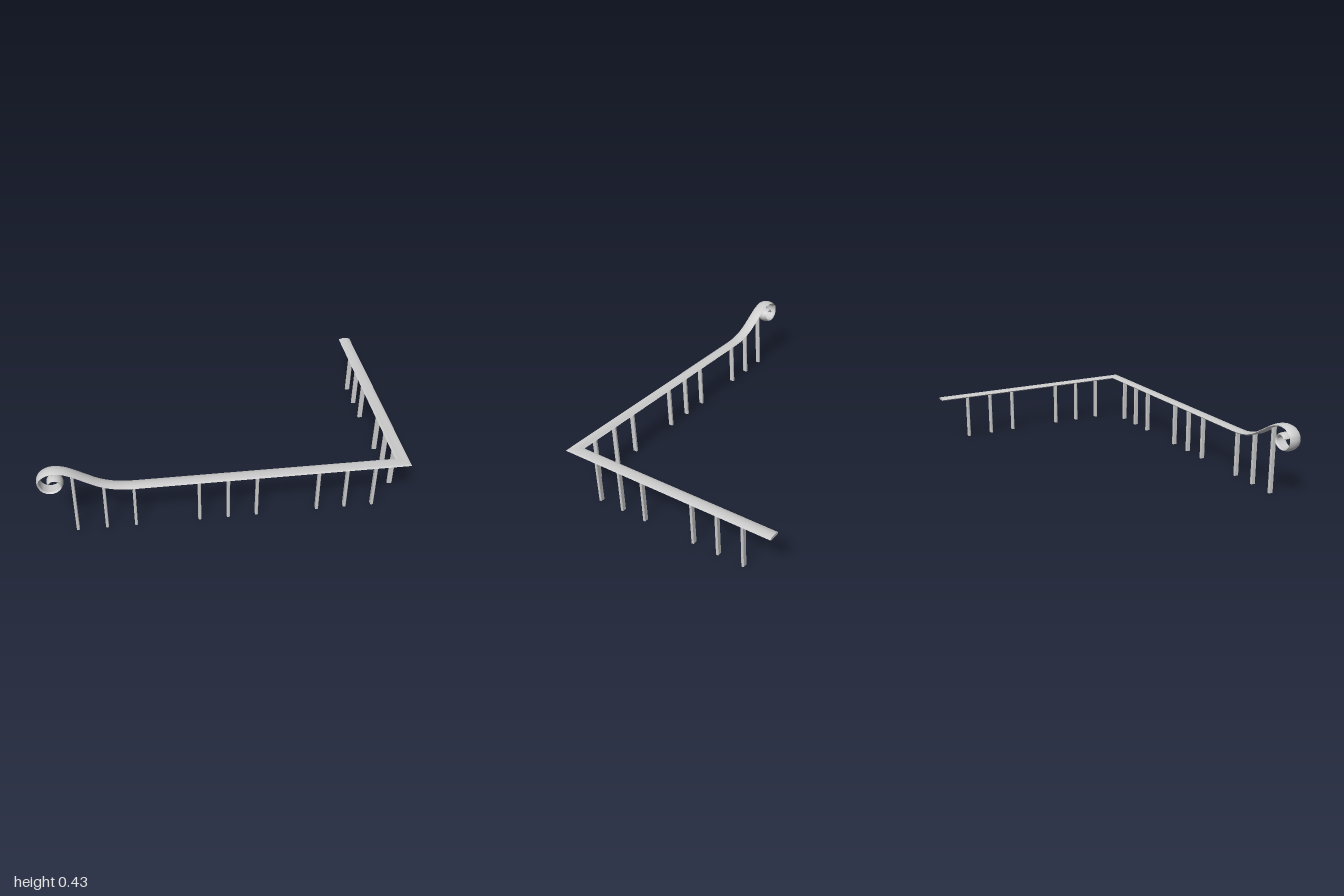
import * as THREE from 'three';
import { toCreasedNormals } from 'three/addons/utils/BufferGeometryUtils.js';

const RAIL_Y = 0.278, FRONT_Z = 0.632, SIDE_X = 0.963;
const V = (x, y, z) => new THREE.Vector3(x, y, z);

// Handrail cross-section: [across, up], crowned top and flat narrower underside
const section = [[-0.036, -0.001], [-0.024, 0.0045], [-0.012, 0.0072], [0, 0.008], [0.012, 0.0072],
  [0.024, 0.0045], [0.036, -0.001], [0.028, -0.008], [-0.028, -0.008]];

// Centre line of the downward ramp and scroll
const scroll = new THREE.CatmullRomCurve3([
  [-0.5, 0.278], [-0.56, 0.281], [-0.62, 0.292], [-0.68, 0.313], [-0.74, 0.346], [-0.818, 0.392],
  [-0.86, 0.41], [-0.905, 0.418], [-0.95, 0.409], [-0.983, 0.383], [-0.992, 0.35], [-0.98, 0.315],
  [-0.953, 0.294], [-0.92, 0.29], [-0.887, 0.304], [-0.869, 0.333], [-0.88, 0.361], [-0.908, 0.372],
  [-0.93, 0.366], [-0.94, 0.35],
].map(([x, y]) => V(x, y, FRONT_Z)), false, 'centripetal');

// Sweep the section through stations {p, across, up}
function sweep(stations) {
  const pos = [], index = [], n = section.length;
  for (const { p, across, up } of stations) {
    for (const [b, h] of section) {
      pos.push(...p.clone().addScaledVector(across, b).addScaledVector(up, h).toArray());
    }
  }
  for (let i = 0; i < stations.length - 1; i++) {
    for (let j = 0; j < n; j++) {
      const k = (j + 1) % n, a = i * n, c = a + n;
      index.push(a + j, a + k, c + k, a + j, c + k, c + j);
    }
  }
  const last = (stations.length - 1) * n;
  for (let j = 1; j < n - 1; j++) {
    index.push(0, j + 1, j, last, last + j, last + j + 1);
  }
  const g = new THREE.BufferGeometry();
  g.setAttribute('position', new THREE.Float32BufferAttribute(pos, 3));
  g.setIndex(index);
  return toCreasedNormals(g, 0.5);
}

function handrailGeometry() {
  const up = V(0, 1, 0);
  const stations = [
    { p: V(SIDE_X, RAIL_Y, -0.667), across: V(-1, 0, 0), up },
    { p: V(SIDE_X, RAIL_Y, FRONT_Z), across: V(-1, 0, -1), up }, // mitred corner
  ];
  const steps = 110;
  for (let i = 0; i <= steps; i++) {
    const t = scroll.getTangentAt(i / steps);
    stations.push({ p: scroll.getPointAt(i / steps), across: V(0, 0, -1), up: V(t.y, -t.x, 0) });
  }
  return sweep(stations);
}

// Height of the rail's centre line above a given x (ramp part only)
function railHeight(x) {
  if (x > -0.5) return RAIL_Y;
  return scroll.getPoints(400).find((p) => p.x <= x).y;
}

// Flat bar with chamfered corners: 0.016 along the rail, 0.028 across it
function balusterGeometry(height) {
  const w = 0.008, d = 0.014, c = 0.003;
  const shape = new THREE.Shape([[w, -d + c], [w, d - c], [w - c, d], [-w + c, d], [-w, d - c],
    [-w, -d + c], [-w + c, -d], [w - c, -d]].map(([x, y]) => new THREE.Vector2(x, y)));
  return new THREE.ExtrudeGeometry(shape, { depth: height, bevelEnabled: false }).rotateX(-Math.PI / 2);
}

export function createModel() {
  const model = new THREE.Group();
  model.name = 'handrail';
  const material = new THREE.MeshStandardMaterial({ color: 0xcccccc });
  const add = (geometry, name) => {
    const mesh = new THREE.Mesh(geometry, material);
    mesh.name = name;
    model.add(mesh);
    return mesh;
  };

  add(handrailGeometry(), 'rail');

  // Balusters in groups of three under the front rail
  for (const centre of [-0.659, 0.002, 0.655]) {
    for (const offset of [-0.157, 0, 0.157]) {
      const x = centre + offset;
      add(balusterGeometry(railHeight(x)), 'frontBaluster').position.set(x, 0, FRONT_Z);
    }
  }

  // Balusters in groups of three under the side rail
  for (const centre of [0.316, -0.328]) {
    for (const offset of [-0.158, 0, 0.158]) {
      const post = add(balusterGeometry(RAIL_Y), 'sideBaluster');
      post.position.set(SIDE_X, 0, centre + offset);
      post.rotation.y = Math.PI / 2;
    }
  }
  return model;
}
